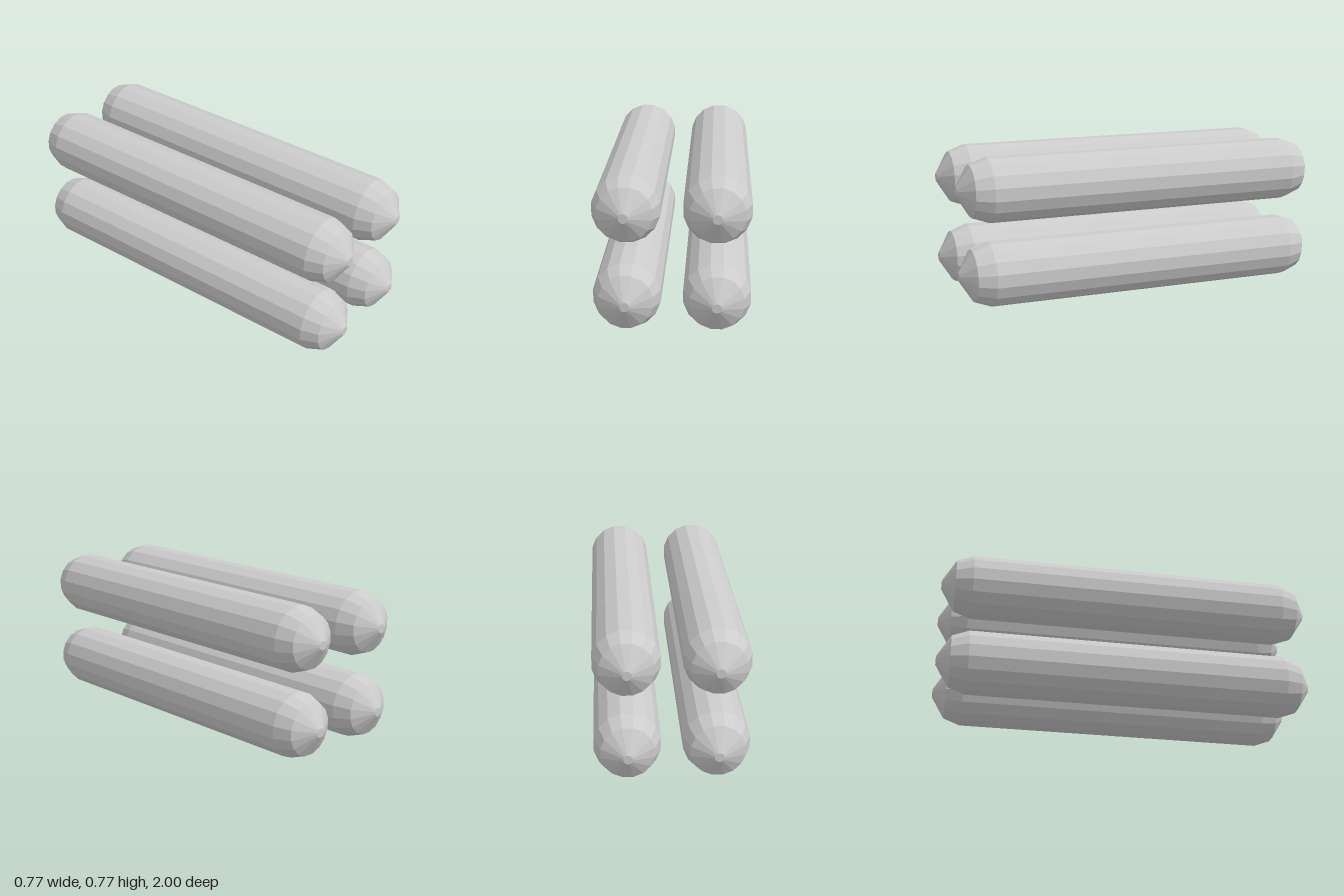
import * as THREE from 'three';

const SIDES = 16;
const PITCH = 0.22; // half the spacing between rods
const FLAT_RADIUS = 0.165; // rod axis to a flat side

export function createModel() {
  const model = new THREE.Group();
  model.name = 'rodBundle';
  const material = new THREE.MeshStandardMaterial({ color: 0xcccccc, flatShading: true });

  // Half profile of one end: [distance to flat side, position along the rod]
  const end = [[0, 1], [0.023, 1], [0.133, 0.93], [FLAT_RADIUS, 0.84]];
  const toCorner = 1 / Math.cos(Math.PI / SIDES);
  const half = end.map(([r, l]) => new THREE.Vector2(r * toCorner, l));
  const mirrored = half.map((p) => new THREE.Vector2(p.x, -p.y));
  const profile = [...mirrored, ...half.reverse()];

  // Sixteen-sided rod along z, turned so flats face up, down and sideways
  const rod = new THREE.LatheGeometry(profile, SIDES, Math.PI / SIDES);
  rod.rotateX(Math.PI / 2);

  // Two by two stack
  for (const [row, y] of [['lower', FLAT_RADIUS], ['upper', FLAT_RADIUS + 2 * PITCH]]) {
    for (const [side, x] of [['Left', PITCH], ['Right', -PITCH]]) {
      const mesh = new THREE.Mesh(rod, material);
      mesh.name = `${row}${side}Rod`;
      mesh.position.set(x, y, 0);
      model.add(mesh);
    }
  }
  return model;
}
